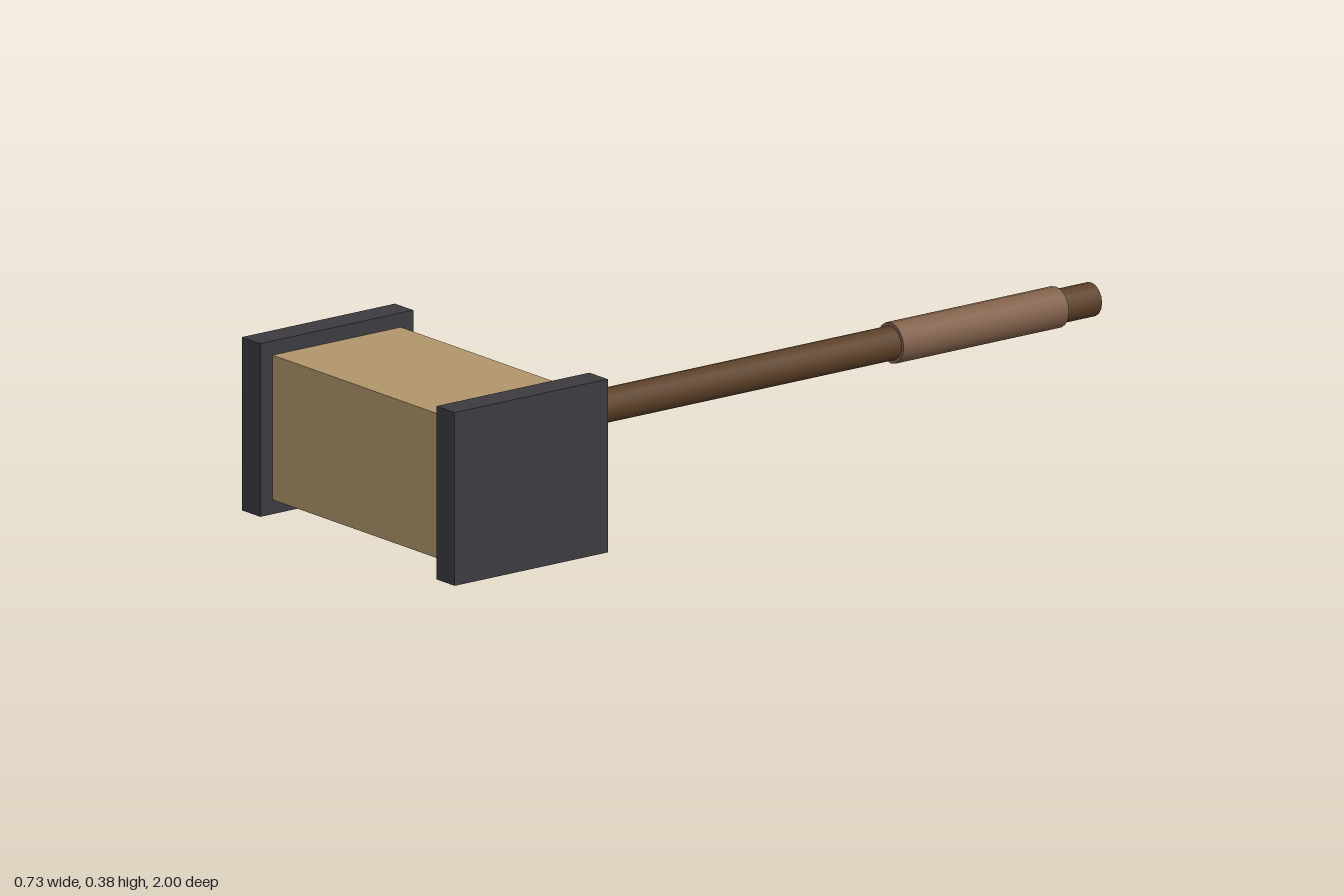
import * as THREE from 'three';

export function createModel() {
  const group = new THREE.Group();
  const material = (name, color) => {
    const m = new THREE.MeshStandardMaterial({ color });
    m.name = name;
    return m;
  };
  const lightWood = material('light wood', 0xb0956a);
  const darkWood = material('dark wood', 0x5c4028);
  const leather = material('leather', 0x80604a);
  const iron = material('dark iron', 0x3c3a40);

  const midY = 0.191, headZ = 0.794;

  function add(name, geometry, mat, x, z) {
    const mesh = new THREE.Mesh(geometry, mat);
    mesh.name = name;
    mesh.position.set(x, midY, z);
    group.add(mesh);
  }
  // Rod lying along z between two depths
  function rod(name, radius, z0, z1, mat) {
    const geometry = new THREE.CylinderGeometry(radius, radius, z1 - z0, 16).rotateX(Math.PI / 2);
    add(name, geometry, mat, 0, (z0 + z1) / 2);
  }

  // Head block with a striking plate on each end
  add('headBlock', new THREE.BoxGeometry(0.604, 0.319, 0.345), lightWood, 0, headZ);
  for (const [name, side] of [['leftPlate', 1], ['rightPlate', -1]]) {
    add(name, new THREE.BoxGeometry(0.063, 0.382, 0.412), iron, side * 0.3335, headZ);
  }

  // Handle running back from the head, with a wrapped grip
  rod('handle', 0.037, -1, 0.7, darkWood);
  rod('grip', 0.045, -0.905, -0.46, leather);

  return group;
}
